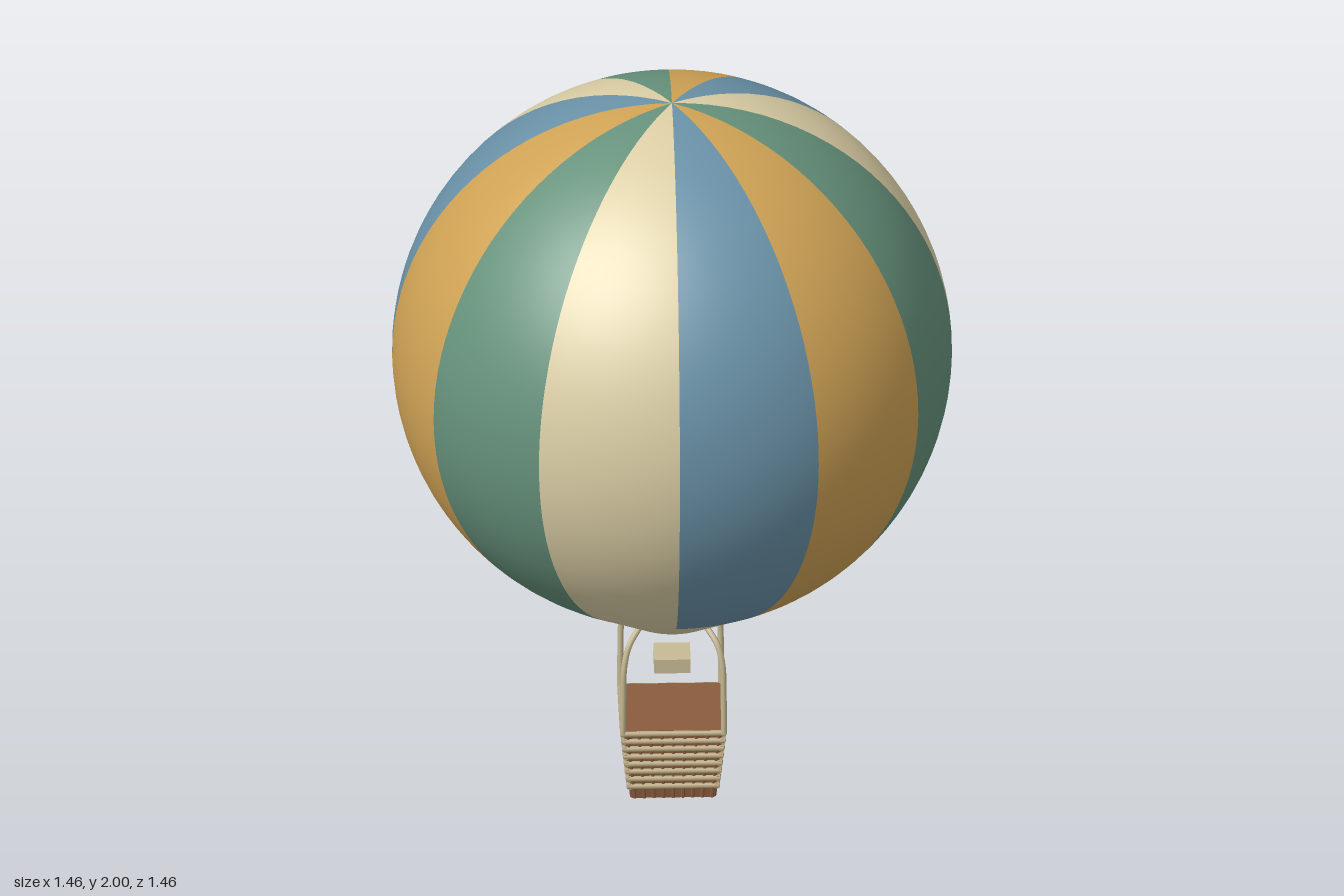
import * as THREE from 'three';

const mat = (name, color, extra = {}) => {
  const m = new THREE.MeshStandardMaterial({ color, ...extra });
  m.name = name;
  return m;
};

export function createModel() {
  const model = new THREE.Group();
  model.name = 'hotAirBalloon';
  const open = { side: THREE.DoubleSide };
  const cream = mat('cream', 0xdccfa6, open);
  const cloth = [mat('blue', 0x6a92a8, open), mat('ochre', 0xd0a355, open), mat('green', 0x66927c, open), cream];
  const rope = mat('rope', 0xc6ba94);
  const wicker = mat('wicker', 0xb9a880);
  const brown = mat('brown', 0x8a5c3e, { flatShading: true });

  const add = (parent, name, geometry, material, x = 0, y = 0, z = 0) => {
    const mesh = new THREE.Mesh(geometry, material);
    mesh.name = name;
    mesh.position.set(x, y, z);
    parent.add(mesh);
    return mesh;
  };

  // Envelope: twelve gores of an open-bottomed sphere
  const R = 0.73, midY = 1.27, skirtY = 0.63;
  const sweep = Math.acos((skirtY - midY) / R);
  const envelope = new THREE.Group();
  envelope.name = 'envelope';
  for (let i = 0; i < 12; i++) {
    const gore = new THREE.SphereGeometry(R, 8, 40, Math.PI / 2 + i * Math.PI / 6, Math.PI / 6, 0, sweep);
    add(envelope, 'gore' + (i + 1), gore, cloth[i % 4], 0, midY, 0);
  }
  model.add(envelope);

  // Skirt: open cone below the envelope
  add(model, 'skirt', new THREE.CylinderGeometry(R * Math.sin(sweep), 0.13, 0.135, 64, 1, true), cream, 0, 0.5625, 0);

  // Burner block
  add(model, 'burner', new THREE.BoxGeometry(0.095, 0.04, 0.095), rope, 0, 0.355, 0);

  // Ropes from basket corners to the skirt mouth
  for (const sx of [-1, 1]) for (const sz of [-1, 1]) {
    const path = new THREE.CatmullRomCurve3(
      [[0.132, 0.2], [0.131, 0.3], [0.128, 0.4], [0.115, 0.455], [0.085, 0.497]]
        .map(([d, y]) => new THREE.Vector3(sx * d, y, sz * d)));
    add(model, 'rope', new THREE.TubeGeometry(path, 24, 0.008, 8), rope);
  }

  // Basket: tapered core, woven rows and thin stakes
  const basket = new THREE.Group();
  basket.name = 'basket';
  const height = 0.21;
  const half = y => 0.108 + 0.022 * y / height;
  const core = new THREE.CylinderGeometry(half(height) * Math.SQRT2, half(0) * Math.SQRT2, height, 4);
  core.rotateY(Math.PI / 4);
  add(basket, 'basketCore', core, brown, 0, height / 2, 0);

  for (let side = 0; side < 4; side++) {
    const panel = new THREE.Group();
    panel.name = 'wovenSide';
    panel.rotation.y = side * Math.PI / 2;
    for (let row = 0; row < 8; row++) {
      const y = 0.038 + row * 0.0234, w = half(y);
      const strand = new THREE.CylinderGeometry(0.008, 0.008, 2 * w + 0.016, 8);
      strand.rotateZ(Math.PI / 2);
      add(panel, 'strand', strand, wicker, 0, y, w + 0.002);
    }
    for (let i = 0; i < 9; i++) {
      const t = (i - 4) / 4.3;
      const path = new THREE.LineCurve3(
        new THREE.Vector3(t * half(0), 0.001, half(0)),
        new THREE.Vector3(t * half(height), height - 0.001, half(height)));
      add(panel, 'stake', new THREE.TubeGeometry(path, 1, 0.005, 6), brown);
    }
    basket.add(panel);
  }
  model.add(basket);
  return model;
}
